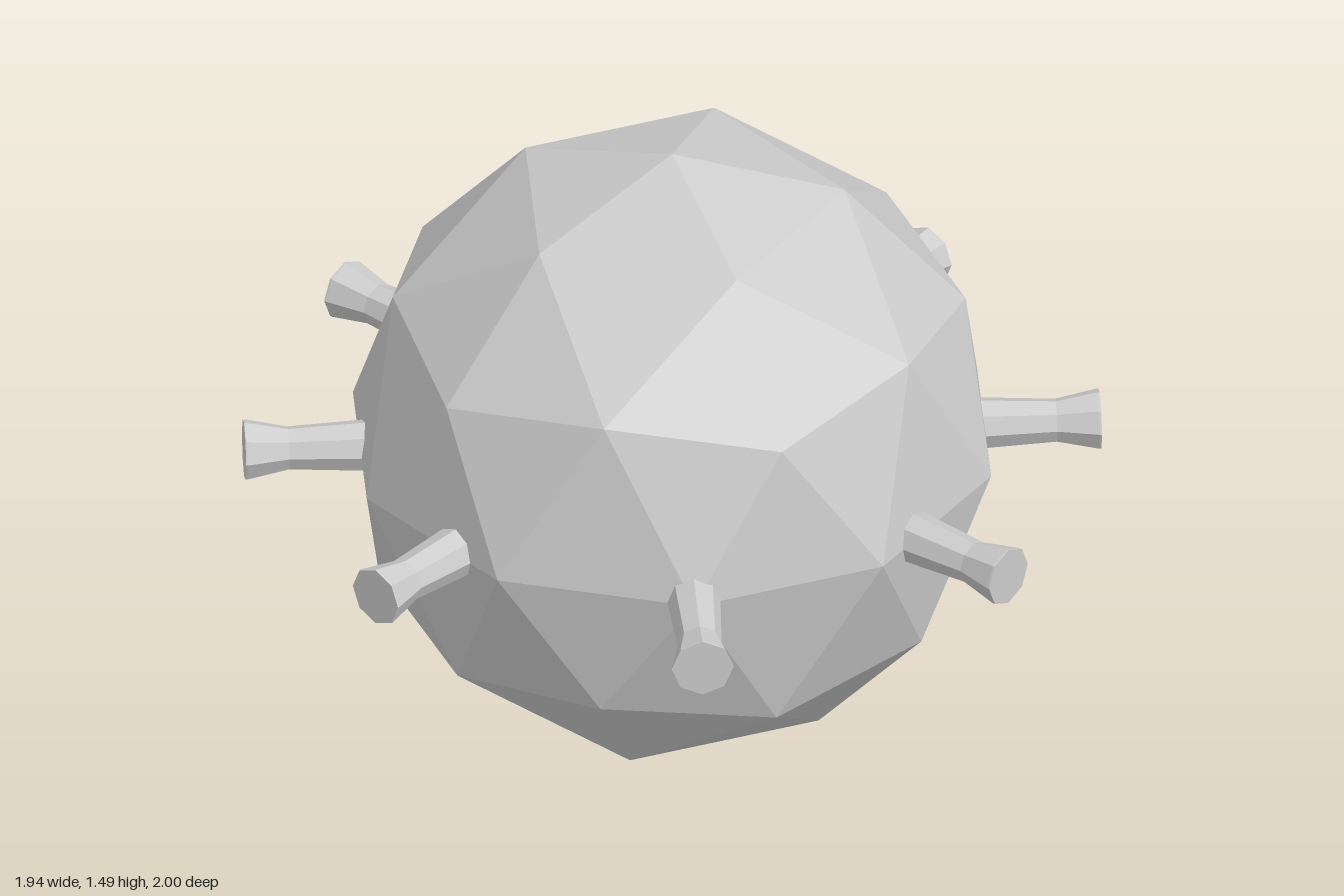
import * as THREE from 'three';

const material = new THREE.MeshStandardMaterial({ color: 0xcccccc, flatShading: true });
const CENTER_Y = 0.749;
const RADIUS = 0.744;

// Icosahedron with a corner at each pole, subdivided once into 80 facets
function bodyGeometry() {
  const h = Math.sqrt(0.2), r = 2 * h;
  const corners = [0, 1, 0, 0, -1, 0];
  const faces = [];
  for (let i = 0; i < 5; i++) {
    const a = (i * 2 * Math.PI) / 5, b = a + Math.PI / 5;
    corners.push(r * Math.cos(a), h, -r * Math.sin(a));
    corners.push(r * Math.cos(b), -h, -r * Math.sin(b));
    const next = (i + 1) % 5;
    const u0 = 2 + 2 * i, l0 = u0 + 1, u1 = 2 + 2 * next, l1 = u1 + 1;
    faces.push(0, u0, u1, u0, l0, u1, l0, l1, u1, 1, l1, l0);
  }
  const geometry = new THREE.PolyhedronGeometry(corners, faces, RADIUS, 1);
  geometry.computeVertexNormals();
  return geometry;
}

// Eight-sided stud with a narrow waist and flared, flat tip
const STUD_LENGTH = 0.34;
function studGeometry() {
  const profile = [
    [0, 0], [0.062, 0], [0.06, 0.06], [0.05, STUD_LENGTH - 0.1],
    [0.07, STUD_LENGTH - 0.005], [0.07, STUD_LENGTH], [0, STUD_LENGTH],
  ].map(([x, y]) => new THREE.Vector2(x, y));
  return new THREE.LatheGeometry(profile, 8);
}

// Tip position (x, z) and heading in degrees, measured from +z towards +x
const STUDS = [
  ['frontStud', 0, 1, 0],
  ['frontLeftStud', 0.717, 0.654, 47.5],
  ['leftStud', 0.97, -0.01, 90],
  ['backLeftStud', 0.632, -0.743, 134.5],
  ['backStud', 0, -1, 180],
  ['backRightStud', -0.696, -0.685, 225],
  ['rightStud', -0.97, -0.01, 270],
  ['frontRightStud', -0.717, 0.643, 313],
];

export function createModel() {
  const model = new THREE.Group();
  model.name = 'studdedBall';

  const body = new THREE.Mesh(bodyGeometry(), material);
  body.name = 'body';
  body.position.set(0, CENTER_Y, -0.01);
  model.add(body);

  // Ring of studs around the equator
  const geometry = studGeometry();
  for (const [name, x, z, degrees] of STUDS) {
    const yaw = THREE.MathUtils.degToRad(degrees);
    const stud = new THREE.Mesh(geometry, material);
    stud.name = name;
    stud.rotation.set(Math.PI / 2, yaw, 0, 'YXZ');
    stud.position.set(x - Math.sin(yaw) * STUD_LENGTH, CENTER_Y, z - Math.cos(yaw) * STUD_LENGTH);
    model.add(stud);
  }
  return model;
}
